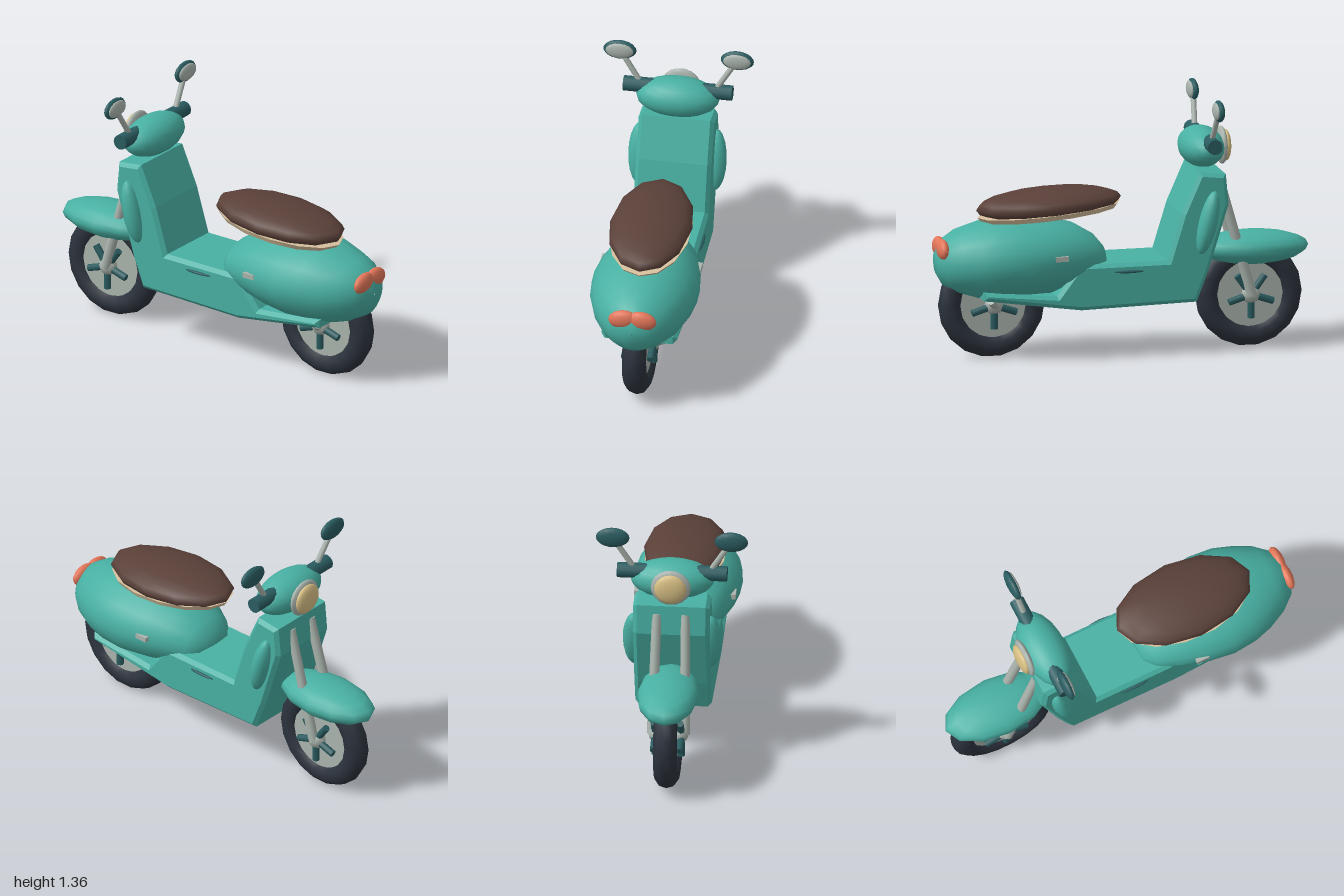
import * as THREE from 'three';

const mat = (name, color) => {
  const m = new THREE.MeshStandardMaterial({ color });
  m.name = name;
  return m;
};

export function createModel() {
  const teal = mat('teal paint', 0x48b0a3);
  const darkTeal = mat('dark teal', 0x2a5c60);
  const grey = mat('light metal', 0xaab4ad);
  const rubber = mat('rubber', 0x2c333d);
  const brown = mat('seat brown', 0x5a4039);
  const cream = mat('cream trim', 0xd6bf9d);
  const orange = mat('orange lamp', 0xe27659);
  const lens = mat('lamp lens', 0xd8c085);

  const group = new THREE.Group();
  const add = (name, geo, material, pos = [0, 0, 0], parent = group) => {
    const m = new THREE.Mesh(geo, material);
    m.name = name;
    m.position.set(...pos);
    parent.add(m);
    return m;
  };
  const ellipsoid = (name, material, pos, r, w = 16, h = 12, parent = group) =>
    add(name, new THREE.SphereGeometry(1, w, h).scale(...r), material, pos, parent);
  const rod = (name, material, a, b, r0, r1 = r0, sides = 10, parent = group) => {
    const p = new THREE.Vector3(...a), q = new THREE.Vector3(...b);
    const d = q.clone().sub(p);
    const m = add(name, new THREE.CylinderGeometry(r1, r0, d.length(), sides), material,
      p.clone().add(q).multiplyScalar(0.5).toArray(), parent);
    m.quaternion.setFromUnitVectors(new THREE.Vector3(0, 1, 0), d.normalize());
    return m;
  };

  // Floor and leg shield: one bevelled side profile in (z, y)
  const profile = [[0.77, 0.33], [0.77, 0.375], [0.38, 0.34], [0.26, 0.5], [-0.21, 0.505],
    [-0.285, 0.75], [-0.38, 0.965], [-0.52, 0.95], [-0.535, 0.79], [-0.43, 0.45],
    [-0.365, 0.28], [0.25, 0.26]];
  const shape = new THREE.Shape(profile.map(([z, y]) => new THREE.Vector2(z, y)));
  const b = 0.02;
  const body = new THREE.ExtrudeGeometry(shape, {
    depth: 0.4 - 2 * b, bevelEnabled: true, bevelSize: b, bevelThickness: b,
    bevelOffset: -b, bevelSegments: 1,
  });
  body.translate(0, 0, -(0.2 - b)).rotateY(-Math.PI / 2);
  add('floorAndLegShield', body, teal);

  // Rear cowl: oval sections [z, half width, bottom, top]
  const sections = [[0.09, 0.001, 0.49, 0.51], [0.1, 0.11, 0.43, 0.57], [0.15, 0.17, 0.39, 0.63],
    [0.26, 0.225, 0.36, 0.695], [0.4, 0.265, 0.33, 0.725], [0.55, 0.285, 0.31, 0.74],
    [0.68, 0.272, 0.31, 0.738], [0.78, 0.24, 0.32, 0.71], [0.88, 0.19, 0.35, 0.68],
    [0.95, 0.13, 0.39, 0.635], [0.985, 0.07, 0.45, 0.585], [0.99, 0.001, 0.51, 0.52]];
  const n = 20, pos = [], idx = [];
  sections.forEach(([z, w, y0, y1], i) => {
    for (let j = 0; j < n; j++) {
      const a = (j / n) * Math.PI * 2;
      pos.push(w * Math.cos(a), (y0 + y1) / 2 + ((y1 - y0) / 2) * Math.sin(a), z);
      if (i === 0) continue;
      const k = (j + 1) % n, p = (i - 1) * n, q = i * n;
      idx.push(p + j, p + k, q + j, p + k, q + k, q + j);
    }
  });
  const cowl = new THREE.BufferGeometry();
  cowl.setAttribute('position', new THREE.Float32BufferAttribute(pos, 3));
  cowl.setIndex(idx);
  cowl.computeVertexNormals();
  add('rearCowl', cowl, teal);

  // Seat with trim
  const seat = new THREE.Group();
  seat.name = 'seat';
  seat.position.set(0, 0.8, 0.385);
  seat.rotation.x = 0.06;
  group.add(seat);
  ellipsoid('seatCushion', brown, [0, 0, 0], [0.217, 0.084, 0.387], 12, 10, seat);
  const trim = add('seatTrim', new THREE.CylinderGeometry(0.212, 0.2, 0.026, 14), cream, [0, -0.042, 0], seat);
  trim.scale.z = 1.8;
  trim.rotation.x = 0.03;

  // Front fender and steering head
  ellipsoid('frontFender', teal, [0, 0.525, -0.7], [0.16, 0.09, 0.3], 12, 10);
  ellipsoid('steeringHead', teal, [0, 1.07, -0.428], [0.22, 0.105, 0.117], 18, 12);
  rod('handlebar', darkTeal, [-0.287, 1.113, -0.44], [0.287, 1.113, -0.44], 0.04, 0.04, 12);

  // Headlight
  ellipsoid('headlightRim', grey, [0, 1.07, -0.537], [0.105, 0.1, 0.027], 16, 10);
  ellipsoid('headlightLens', lens, [0, 1.07, -0.557], [0.085, 0.083, 0.028], 16, 10);

  // Wheels: tyre, disc, five spokes a side and a hub
  const wheel = (name, z) => {
    const g = new THREE.Group();
    g.name = name;
    g.position.set(0, 0.284, z);
    group.add(g);
    add('tyre', new THREE.TorusGeometry(0.221, 0.064, 10, 18).rotateY(Math.PI / 2), rubber, [0, 0, 0], g);
    add('rim', new THREE.CylinderGeometry(0.175, 0.175, 0.084, 16).rotateZ(Math.PI / 2), grey, [0, 0, 0], g);
    for (const s of [-1, 1]) {
      for (let i = 0; i < 5; i++) {
        const a = (i / 5) * Math.PI * 2 + Math.PI / 2;
        const c = Math.cos(a), t = -Math.sin(a);
        rod('spoke', darkTeal, [s * 0.068, t * 0.04, c * 0.04], [s * 0.068, t * 0.125, c * 0.125], 0.019, 0.019, 8, g);
      }
      ellipsoid('hub', grey, [s * 0.06, 0, 0], [0.045, 0.05, 0.05], 12, 8, g);
    }
  };
  wheel('frontWheel', -0.68);
  wheel('rearWheel', 0.69);

  // Tail lamp lobes and parts mirrored left and right
  for (const s of [-1, 1]) {
    const lamp = ellipsoid('tailLamp', orange, [s * 0.05, 0.587, 0.96], [0.078, 0.053, 0.032], 14, 10);
    lamp.rotation.z = -s * 0.12;

    const bulge = ellipsoid('shieldSidePanel', teal, [s * 0.2, 0.7, -0.42], [0.06, 0.17, 0.05], 14, 10);
    bulge.rotation.x = -0.23;

    rod('forkLeg', grey, [s * 0.075, 0.9, -0.51], [s * 0.085, 0.284, -0.68], 0.025, 0.028);
    rod('rearAxleArm', grey, [s * 0.13, 0.32, 0.72], [s * 0.075, 0.275, 0.68], 0.022);
    add('sideMarker', new THREE.BoxGeometry(0.03, 0.026, 0.07), grey, [s * 0.25, 0.55, 0.37]);
    ellipsoid('footPeg', darkTeal, [s * 0.2, 0.458, 0], [0.014, 0.008, 0.08], 8, 6);

    // Mirrors, glass towards the rider
    rod('mirrorStem', grey, [s * 0.2, 1.13, -0.44], [s * 0.285, 1.27, -0.452], 0.015);
    ellipsoid('mirrorShell', darkTeal, [s * 0.31, 1.31, -0.455], [0.088, 0.056, 0.026], 14, 10);
    ellipsoid('mirrorGlass', grey, [s * 0.31, 1.31, -0.44], [0.074, 0.045, 0.016], 14, 8);
  }
  return group;
}
